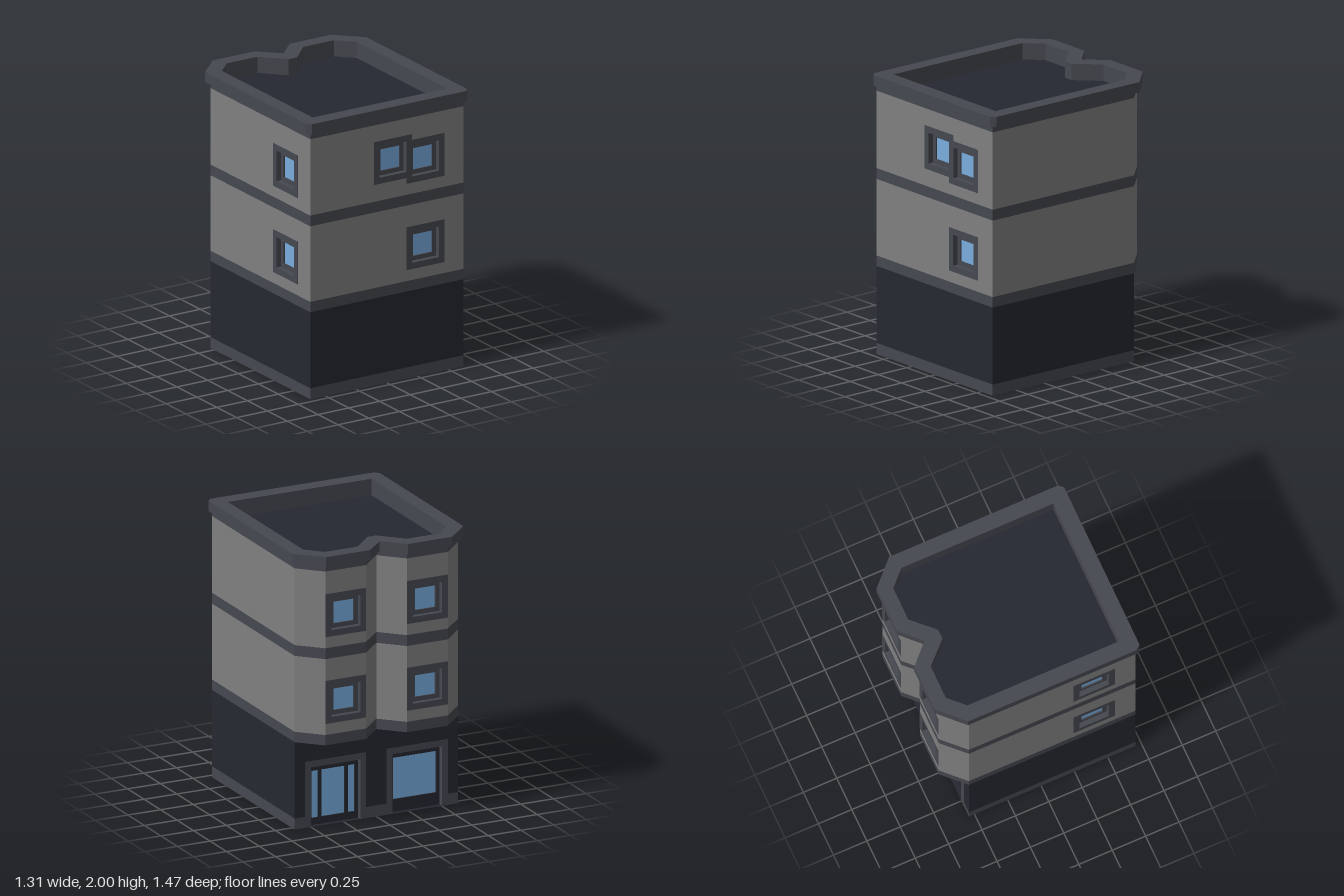
import * as THREE from 'three';
import { mergeGeometries } from 'three/addons/utils/BufferGeometryUtils.js';

const paint = (color) => new THREE.MeshStandardMaterial({ color, flatShading: true, side: THREE.DoubleSide });
const WALL = paint(0x808080), TRIM = paint(0x464850), DARK = paint(0x252830), GLASS = paint(0x78acde);
const RECESS = 0.035;

// Plan outlines as [x, z], running anticlockwise seen from above
const X = 0.624, FRONT = 0.708, BACK = -0.542, BAY = -0.698;
const groundPlan = [[-X, FRONT], [X, FRONT], [X, BACK], [-X, BACK]];
const upperPlan = [[-X, FRONT], [X, FRONT], [X, BACK], [0.468, BAY], [0.156, BAY], [0, BACK],
  [-0.156, BAY], [-0.468, BAY], [-X, BACK]];
const cornicePlan = [[-0.626, 0.735], [0.626, 0.735], [0.656, 0.7], [0.656, -0.563], [0.482, -0.735], [0.144, -0.735],
  [0, -0.593], [-0.144, -0.735], [-0.482, -0.735], [-0.656, -0.563], [-0.656, 0.7]];
const roofPlan = [[-0.548, 0.62], [0.548, 0.62], [0.548, -0.518], [0.437, -0.63], [0.187, -0.63], [0.035, -0.474],
  [-0.035, -0.474], [-0.187, -0.63], [-0.437, -0.63], [-0.548, -0.518]];

const points = (list) => list.map(([a, b]) => new THREE.Vector2(a, b));
const planPoints = (plan) => points(plan.map(([x, z]) => [x, -z]));
const rectPoints = ([x0, x1, y0, y1]) => points([[x0, y0], [x1, y0], [x1, y1], [x0, y1]]);

function add(parent, name, geometry, material) {
  const mesh = new THREE.Mesh(geometry, material);
  mesh.name = name;
  parent.add(mesh);
  return mesh;
}

// Flat rectangle facing local +z
function rect([x0, x1, y0, y1], z = 0) {
  return new THREE.PlaneGeometry(x1 - x0, y1 - y0).translate((x0 + x1) / 2, (y0 + y1) / 2, z);
}

// Horizontal plate filling a plan
function plate(parent, name, plan, y, material) {
  const geometry = new THREE.ShapeGeometry(new THREE.Shape(planPoints(plan))).rotateX(-Math.PI / 2);
  add(parent, name, geometry, material).position.y = y;
}

// Ring between a plan and the roof opening
function ring(parent, name, plan, y0, y1) {
  const shape = new THREE.Shape(planPoints(plan));
  shape.holes.push(new THREE.Path(planPoints(roofPlan)));
  const geometry = new THREE.ExtrudeGeometry(shape, { depth: y1 - y0, bevelEnabled: false }).rotateX(-Math.PI / 2);
  add(parent, name, geometry, TRIM).position.y = y0;
}

// Wall strip with rectangular openings left free
function wallStrip(parent, [name, y0, y1, material], length, openings) {
  const pieces = [];
  const piece = (...r) => { if (r[1] - r[0] > 1e-4 && r[3] - r[2] > 1e-4) pieces.push(rect(r)); };
  let x = 0;
  for (const { hole: [a, b, lo, hi] } of openings) {
    if (hi <= y0 || lo >= y1) continue;
    piece(x, a, y0, y1);
    piece(a, b, y0, lo);
    piece(a, b, hi, y1);
    x = b;
  }
  piece(x, length, y0, y1);
  add(parent, name, mergeGeometries(pieces), material);
}

// Flush surround, recessed sash and panes
function fillOpening(parent, { name, outer, hole, panes, sash }) {
  const group = new THREE.Group();
  group.name = name;
  parent.add(group);
  const [a, b, lo, hi] = outer, [c, d, sill, head] = hole;
  let frame;
  if (sill > lo) {
    frame = new THREE.Shape(rectPoints(outer));
    frame.holes.push(new THREE.Path(rectPoints(hole)));
  } else {
    frame = new THREE.Shape(points([[a, lo], [c, lo], [c, head], [d, head], [d, lo], [b, lo], [b, hi], [a, hi]]));
  }
  add(group, 'surround', new THREE.ExtrudeGeometry(frame, { depth: RECESS + 0.002, bevelEnabled: false })
    .translate(0, 0, -RECESS), TRIM);
  const inner = new THREE.Shape(rectPoints(hole));
  for (const p of panes) inner.holes.push(new THREE.Path(rectPoints(p)));
  add(group, 'sash', new THREE.ExtrudeGeometry(inner, { depth: 0.012, bevelEnabled: false })
    .translate(0, 0, -RECESS - 0.012), sash);
  for (const p of panes) add(group, 'pane', rect(p, -RECESS - 0.01), GLASS);
}

const square = (u, y, r) => [u - r, u + r, y - r, y + r];
const windowAt = (u, y) => ({
  name: 'window', outer: square(u, y, 0.155), hole: square(u, y, 0.11), panes: [square(u, y, 0.078)], sash: TRIM,
});
const shopOpening = (name, u, panes) => ({
  name, outer: [u - 0.234, u + 0.234, 0, 0.475], hole: [u - 0.19, u + 0.19, 0, 0.43], sash: DARK,
  panes: panes.map(([p, q, lo]) => [u + p, u + q, lo, 0.39]),
});

// One group per plan edge, local x along the wall and local z outward
function buildStorey(parent, label, plan, strips, openingsByEdge) {
  plan.forEach(([x0, z0], i) => {
    const [x1, z1] = plan[(i + 1) % plan.length];
    const side = new THREE.Group();
    side.name = label;
    side.position.set(x0, 0, z0);
    side.rotation.y = Math.atan2(z0 - z1, x1 - x0);
    parent.add(side);
    const openings = openingsByEdge[i] || [];
    for (const strip of strips) wallStrip(side, strip, Math.hypot(x1 - x0, z1 - z0), openings);
    for (const opening of openings) fillOpening(side, opening);
  });
}

export function createModel() {
  const model = new THREE.Group();
  model.name = 'building';

  // Ground floor with entrance and shop window at the back
  buildStorey(model, 'groundWall', groundPlan, [
    ['plinth', 0, 0.08, TRIM],
    ['groundFloor', 0.08, 0.63, DARK],
  ], {
    2: [
      shopOpening('entrance', 0.312, [[-0.165, -0.115, 0.05], [-0.088, 0.088, 0.05], [0.115, 0.165, 0.05]]),
      shopOpening('shopWindow', 0.936, [[-0.165, 0.165, 0.09]]),
    ],
  });

  // Two upper storeys with twin bays
  const bayWindows = [windowAt(0.156, 0.94), windowAt(0.156, 1.565)];
  const strips = [
    ['lowerBand', 0.63, 0.705, TRIM],
    ['firstStorey', 0.705, 1.252, WALL],
    ['middleBand', 1.252, 1.33, TRIM],
    ['secondStorey', 1.33, 1.883, WALL],
  ];
  // Stacked windows share a column, so the strips only ever meet one of them
  buildStorey(model, 'upperWall', upperPlan, strips, {
    0: [windowAt(0.672, 1.607), windowAt(0.936, 1.565), windowAt(0.936, 0.94)],
    3: bayWindows,
    6: bayWindows,
    8: [windowAt(0.938, 0.94), windowAt(0.938, 1.565)],
  });

  // Underside, bay soffit, roof and parapet
  plate(model, 'underside', groundPlan, 0, DARK);
  plate(model, 'baySoffit', upperPlan, 0.63, DARK);
  plate(model, 'roof', upperPlan, 1.883, DARK);
  ring(model, 'parapet', upperPlan, 1.883, 1.926);
  ring(model, 'cornice', cornicePlan, 1.926, 2);
  return model;
}
